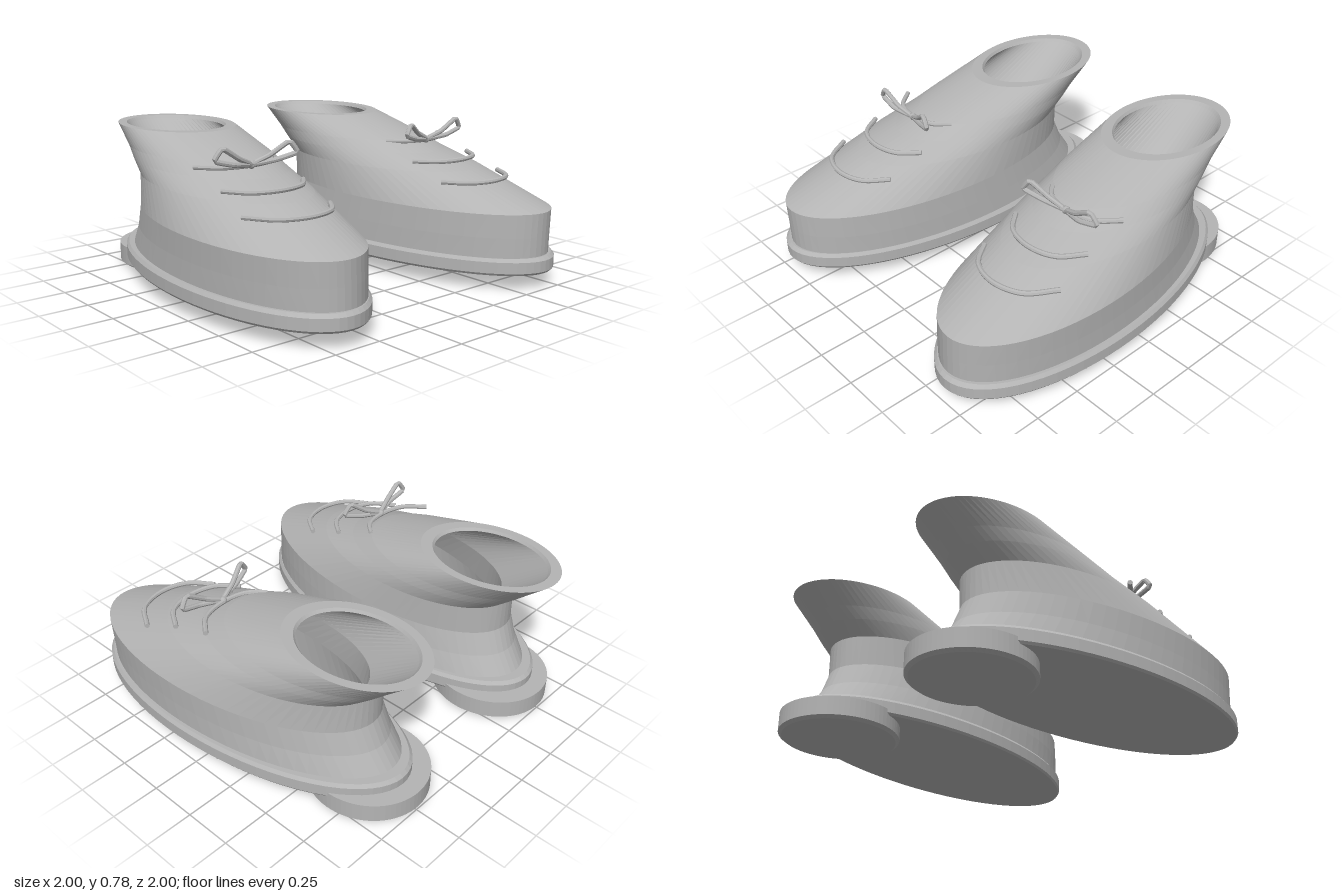
import * as THREE from 'three';

const grey = new THREE.MeshStandardMaterial({ color: 0xb4b4b4, flatShading: true });
grey.name = 'grey';

// Stacks oval rings [centreX, centreZ, y, halfWidth, halfLength, lean]; s mirrors in x
function loft(rings, s, capStart, capEnd, n = 72) {
  const pos = [], idx = [];
  for (const [cx, cz, y, hx, hz, lean] of rings) {
    for (let j = 0; j < n; j++) {
      const t = (j / n) * Math.PI * 2;
      const dz = hz * Math.sin(t);
      pos.push(s * (cx + hx * Math.cos(t) + lean * dz), y, cz + dz);
    }
  }
  const tri = (a, b, c) => (s > 0 ? idx.push(a, b, c) : idx.push(a, c, b));
  for (let i = 0; i < rings.length - 1; i++) {
    for (let j = 0; j < n; j++) {
      const k = (j + 1) % n;
      const a = i * n + j, b = i * n + k, c = a + n, d = b + n;
      tri(a, c, b);
      tri(b, c, d);
    }
  }
  const cap = (i, top) => {
    const [cx, cz, y] = rings[i];
    const c = pos.length / 3;
    pos.push(s * cx, y, cz);
    for (let j = 0; j < n; j++) {
      const a = i * n + j, b = i * n + ((j + 1) % n);
      top ? tri(c, b, a) : tri(c, a, b);
    }
  };
  if (capStart) cap(0, false);
  if (capEnd) cap(rings.length - 1, true);
  const g = new THREE.BufferGeometry();
  g.setAttribute('position', new THREE.Float32BufferAttribute(pos, 3));
  g.setIndex(idx);
  g.computeVertexNormals();
  return g;
}

function shoe(s, name) {
  const group = new THREE.Group();
  group.name = name;
  const add = (part, geometry) => {
    const mesh = new THREE.Mesh(geometry, grey);
    mesh.name = part;
    group.add(mesh);
  };
  const vec = (p) => new THREE.Vector3(s * p[0], p[1], p[2]);

  // round heel block
  add('heel', loft([
    [0.495, -0.69, 0, 0.272, 0.292, 0],
    [0.495, -0.69, 0.014, 0.29, 0.31, 0],
    [0.495, -0.69, 0.11, 0.29, 0.31, 0],
  ], s, true, true));

  // sole with bevelled edges
  add('sole', loft([
    [0.573, 0.043, 0.08, 0.412, 0.945, 0.075],
    [0.573, 0.043, 0.092, 0.421, 0.955, 0.075],
    [0.573, 0.043, 0.15, 0.421, 0.955, 0.075],
    [0.573, 0.043, 0.167, 0.408, 0.938, 0.075],
  ], s, true, true));

  // upper: outer wall, rim, then inner wall down to the insole
  add('upper', loft([
    [0.568, 0.06, 0.16, 0.397, 0.91, 0.075],
    [0.573, 0.096, 0.27, 0.393, 0.874, 0.075],
    [0.58, 0.12, 0.39, 0.39, 0.85, 0.075],
    [0.55, -0.1, 0.55, 0.344, 0.63, 0.055],
    [0.532, -0.26, 0.62, 0.323, 0.555, 0.035],
    [0.522, -0.365, 0.675, 0.306, 0.512, 0.025],
    [0.505, -0.607, 0.777, 0.28, 0.387, 0],
    [0.505, -0.612, 0.777, 0.237, 0.325, 0],
    [0.505, -0.61, 0.762, 0.228, 0.312, 0],
    [0.55, -0.1, 0.55, 0.285, 0.56, 0.055],
    [0.58, 0.12, 0.39, 0.33, 0.77, 0.075],
    [0.573, 0.08, 0.2, 0.335, 0.83, 0.075],
  ], s, false, true));

  // closed-ended lace strand along a path
  const strand = (part, points, closed = false) => {
    const curve = closed
      ? new THREE.CatmullRomCurve3(points.map(vec), true, 'catmullrom', 0.15)
      : new THREE.CatmullRomCurve3(points.map(vec));
    const r = 0.013;
    add(part, new THREE.TubeGeometry(curve, 28, r, 8, closed));
    if (closed) return;
    for (const u of [0, 1]) {
      const end = new THREE.CircleGeometry(r, 8);
      const out = curve.getTangentAt(u).multiplyScalar(u ? 1 : -1);
      end.applyQuaternion(new THREE.Quaternion().setFromUnitVectors(new THREE.Vector3(0, 0, 1), out));
      end.translate(...curve.getPointAt(u).toArray());
      add(part + 'End', end);
    }
  };

  // three laces curving across the instep: height, then x/z of both ends and the middle
  for (const [y, x0, z0, xm, zm, x1, z1] of [
    [0.513, 0.375, 0.52, 0.61, 0.674, 0.855, 0.485],
    [0.593, 0.37, 0.315, 0.6, 0.446, 0.825, 0.285],
    [0.67, 0.39, 0.09, 0.59, 0.19, 0.825, 0.055],
  ]) {
    strand('lace', [
      [x0, y, z0],
      [x0 * 0.5 + xm * 0.5 - 0.025, y, z0 * 0.25 + zm * 0.75],
      [xm, y, zm],
      [x1 * 0.5 + xm * 0.5 + 0.025, y, z1 * 0.25 + zm * 0.75],
      [x1, y, z1],
    ]);
  }

  // bow: two narrow upright loops meeting at the knot
  strand('bowLoop', [
    [0.59, 0.675, 0.2], [0.5, 0.715, 0.225], [0.41, 0.776, 0.26],
    [0.37, 0.72, 0.27], [0.47, 0.69, 0.235],
  ], true);
  strand('bowLoop', [
    [0.59, 0.675, 0.2], [0.68, 0.715, 0.225], [0.78, 0.776, 0.235],
    [0.82, 0.72, 0.225], [0.71, 0.69, 0.23],
  ], true);
  const knot = new THREE.SphereGeometry(0.02, 10, 8);
  knot.translate(s * 0.59, 0.673, 0.195);
  add('knot', knot);
  return group;
}

export function createModel() {
  const model = new THREE.Group();
  model.name = 'pairOfShoes';
  model.add(shoe(1, 'leftShoe'), shoe(-1, 'rightShoe'));
  return model;
}
